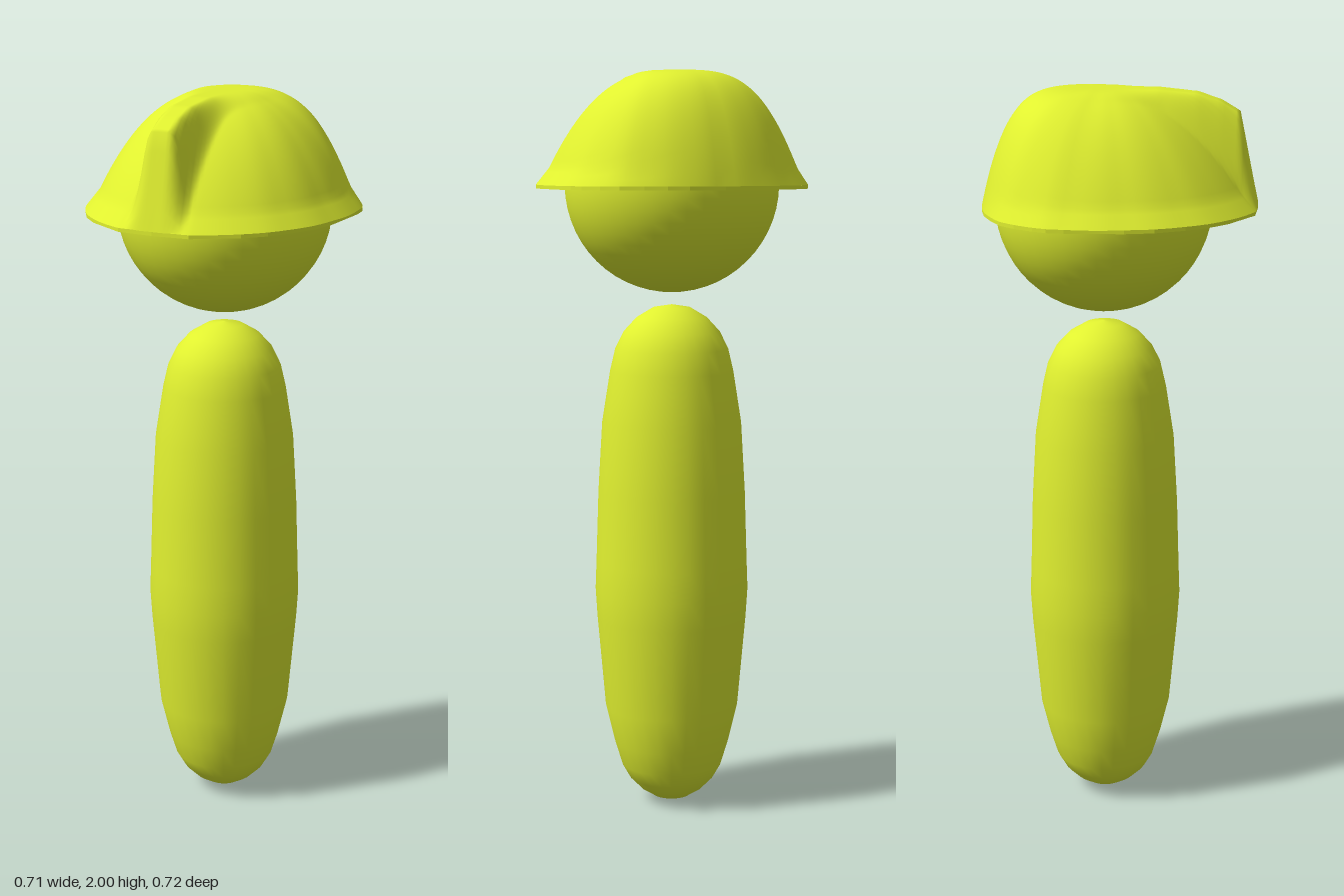
import * as THREE from 'three';

const CZ = -0.045; // shared axis of body, head and helmet
const RIM_Y = 1.7;

// half outline of the helmet rim [x, z], front to back
const RIM = [[0, 0.36], [0.1, 0.353], [0.21, 0.285], [0.26, 0.235], [0.295, 0.18], [0.33, 0.105],
  [0.345, 0.03], [0.35, -0.12], [0.345, -0.165], [0.33, -0.2], [0.3, -0.25], [0.265, -0.29],
  [0.21, -0.32], [0.155, -0.343], [0.1, -0.355], [0, -0.36]];

// height of the crest line along z [z, y]
const CREST = [[-0.2, 1.99], [-0.08, 2], [0.1, 2], [0.2, 1.99], [0.26, 1.97], [0.31, 1.94], [0.36, RIM_Y]];

function lookup(table, v) {
  if (v <= table[0][0]) return table[0][1];
  for (let i = 1; i < table.length; i++) {
    const [a, ya] = table[i - 1], [b, yb] = table[i];
    if (v <= b) return ya + (yb - ya) * (v - a) / (b - a);
  }
  return table[table.length - 1][1];
}

const RADII = RIM.map(([x, z]) => [Math.atan2(x, z - CZ), Math.hypot(x, z - CZ)]);

function helmetHeight(u, angle, x, z) {
  // plain dome: rounder and fuller at the back, gentler at the front
  const back = Math.max(0, -Math.cos(angle)) ** 2;
  const front = Math.max(0, Math.cos(angle)) ** 2;
  const edge = 0.9 + 0.07 * back;
  const power = 2.7 + 2.3 * back - 0.5 * front;
  const dome = u < edge
    ? 1.745 + 0.255 * (1 - (u / edge) ** power)
    : RIM_Y + 0.045 * (1 - u) / (1 - edge);
  // crest: flat on top, falling to the dome on both sides, wider towards the back
  const flare = 1 - THREE.MathUtils.smoothstep(z, -0.05, 0.12);
  const side = 1 - THREE.MathUtils.smoothstep(Math.abs(x), 0.025, 0.08 + 0.05 * flare);
  const start = THREE.MathUtils.smoothstep(z, -0.17, -0.08);
  return dome + Math.max(0, lookup(CREST, z) - dome) * side * start;
}

function helmetGeometry() {
  const cols = 112, rings = 40, pos = [], index = [];
  for (let i = 0; i <= rings; i++) {
    const u = i / rings;
    for (let j = 0; j < cols; j++) {
      const s = -Math.PI + (j / cols) * 2 * Math.PI;
      const angle = s - 0.55 * Math.sin(s); // denser around the crest
      const r = u * lookup(RADII, Math.abs(angle));
      const x = r * Math.sin(angle), z = CZ + r * Math.cos(angle);
      pos.push(x, helmetHeight(u, angle, x, z), z);
      if (i < rings) {
        const a = i * cols + j, b = i * cols + (j + 1) % cols;
        if (i > 0) index.push(a, a + cols, b);
        index.push(b, a + cols, b + cols);
      }
    }
  }
  const geo = new THREE.BufferGeometry();
  geo.setAttribute('position', new THREE.Float32BufferAttribute(pos, 3));
  geo.setIndex(index);
  geo.computeVertexNormals();
  return geo;
}

export function createModel() {
  const group = new THREE.Group();
  const material = new THREE.MeshStandardMaterial({ color: 0xe0f030 });
  const add = (name, geometry, y, z) => {
    const mesh = new THREE.Mesh(geometry, material);
    mesh.name = name;
    mesh.position.set(0, y, z);
    group.add(mesh);
  };

  // body: rounded capsule, widest below the middle
  const profile = [[0, 0], [0.05, 0.013], [0.085, 0.035], [0.115, 0.065], [0.138, 0.105], [0.158, 0.17],
    [0.182, 0.27], [0.204, 0.52], [0.209, 0.6], [0.206, 0.68], [0.2, 0.87], [0.189, 1.06], [0.167, 1.2],
    [0.153, 1.26], [0.13, 1.307], [0.095, 1.345], [0.05, 1.372], [0, 1.38]];
  add('body', new THREE.LatheGeometry(profile.map(([r, y]) => new THREE.Vector2(r, y)), 28), 0, CZ);

  // head: ball half hidden by the helmet
  add('head', new THREE.SphereGeometry(0.287, 40, 28), 1.7, CZ);

  // helmet shell with its front crest
  add('helmet', helmetGeometry(), 0, 0);

  // flat rim plate closing the helmet from below
  const outline = [...RIM, ...RIM.slice(1, -1).reverse().map(([x, z]) => [-x, z])];
  const rim = new THREE.ExtrudeGeometry(new THREE.Shape(outline.map(([x, z]) => new THREE.Vector2(x, z))),
    { depth: 0.01, bevelEnabled: false });
  rim.rotateX(Math.PI / 2);
  add('helmetRim', rim, RIM_Y, 0);

  return group;
}
